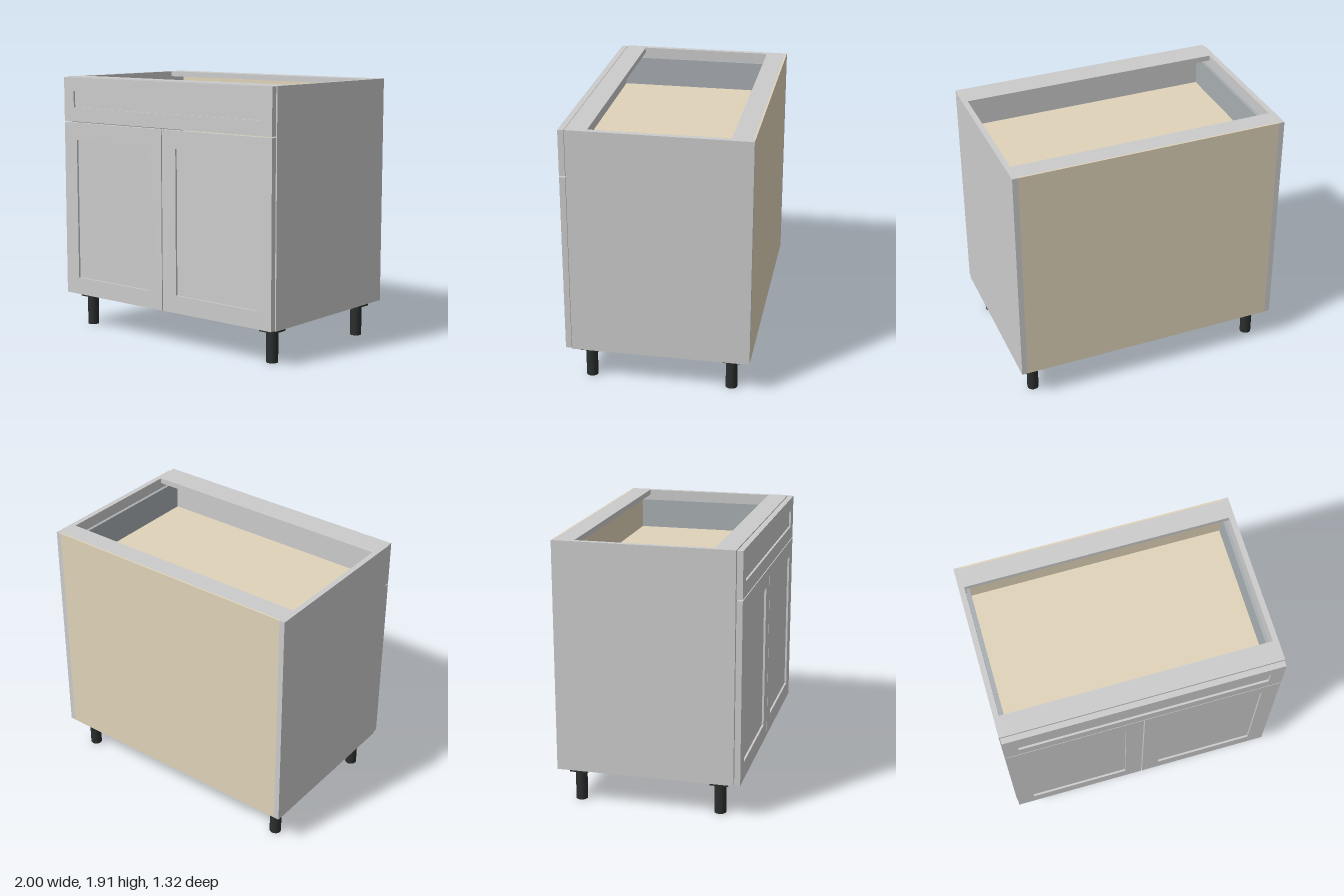
import * as THREE from 'three';

const material = (color) => new THREE.MeshStandardMaterial({ color });
const grey = material(0xcccccc);
const wood = material(0xe0d4b9);
const metal = material(0xa8aeb2);
const black = material(0x2b2e2e);

// Box given by its min and max on each axis
function box(name, [x0, x1], [y0, y1], [z0, z1], mat) {
  const mesh = new THREE.Mesh(new THREE.BoxGeometry(x1 - x0, y1 - y0, z1 - z0), mat);
  mesh.position.set((x0 + x1) / 2, (y0 + y1) / 2, (z0 + z1) / 2);
  mesh.name = name;
  return mesh;
}

// Framed front: a flat frame with an opening and a recessed centre panel
function framedFront(name, [x0, x1], [y0, y1], [a0, a1], [b0, b1]) {
  const back = 0.62, depth = 0.042, recess = 0.015;
  const rect = (path, l, r, b, t) =>
    path.moveTo(l, b).lineTo(r, b).lineTo(r, t).lineTo(l, t).closePath();
  const shape = new THREE.Shape();
  rect(shape, x0, x1, y0, y1);
  const hole = new THREE.Path();
  rect(hole, a0, a1, b0, b1);
  shape.holes.push(hole);
  const frame = new THREE.Mesh(
    new THREE.ExtrudeGeometry(shape, { depth, bevelEnabled: false }), grey);
  frame.position.z = back;
  frame.name = name + 'Frame';
  const group = new THREE.Group();
  group.name = name;
  group.add(frame, box(name + 'Panel', [a0, a1], [b0, b1], [back, back + depth - recess], grey));
  return group;
}

// Adjustable leg with a square mounting plate
function leg(x, z) {
  const group = new THREE.Group();
  group.name = 'leg';
  const post = new THREE.Mesh(new THREE.CylinderGeometry(0.042, 0.042, 0.22, 32), black);
  post.position.y = 0.11;
  post.name = 'legPost';
  group.add(post, box('legPlate', [-0.065, 0.065], [0.22, 0.255], [-0.065, 0.065], black));
  group.position.set(x, 0, z);
  return group;
}

export function createModel() {
  const model = new THREE.Group();
  model.name = 'baseCabinet';
  const bottom = 0.255, top = 1.915, inner = 0.96;

  // Carcass
  for (const s of [-1, 1]) {
    const span = (a, b) => (s > 0 ? [a, b] : [-b, -a]);
    model.add(box('sidePanel', span(inner, 1), [bottom, top], [-0.66, 0.615], grey));
    // Drawer sides and their runners
    model.add(box('drawerSide', span(0.927, 0.95), [1.6, 1.84], [-0.56, 0.62], metal));
    model.add(box('drawerRunner', span(0.95, inner), [1.62, 1.68], [-0.56, 0.6], metal));
  }
  model.add(box('bottomPanel', [-inner, inner], [bottom, 0.295], [-0.648, 0.615], wood));
  model.add(box('backPanel', [-inner, inner], [bottom, top], [-0.66, -0.648], wood));
  model.add(box('backStretcher', [-inner, inner], [1.875, top], [-0.648, -0.505], grey));
  model.add(box('frontStretcher', [-inner, inner], [1.875, top], [0.465, 0.615], grey));

  // Drawer box
  model.add(box('drawerBottom', [-0.927, 0.927], [1.595, 1.62], [-0.56, 0.62], wood));
  model.add(box('drawerBack', [-0.927, 0.927], [1.62, 1.84], [-0.585, -0.56], wood));

  // Fronts
  model.add(framedFront('drawerFront', [-0.994, 0.994], [1.582, 1.912], [-0.893, 0.893], [1.685, 1.812]));
  model.add(framedFront('leftDoor', [0.004, 0.994], [0.26, 1.573], [0.132, 0.866], [0.388, 1.445]));
  model.add(framedFront('rightDoor', [-0.994, -0.004], [0.26, 1.573], [-0.866, -0.132], [0.388, 1.445]));

  // Legs
  for (const x of [-0.88, 0.88]) for (const z of [-0.52, 0.5]) model.add(leg(x, z));

  return model;
}
